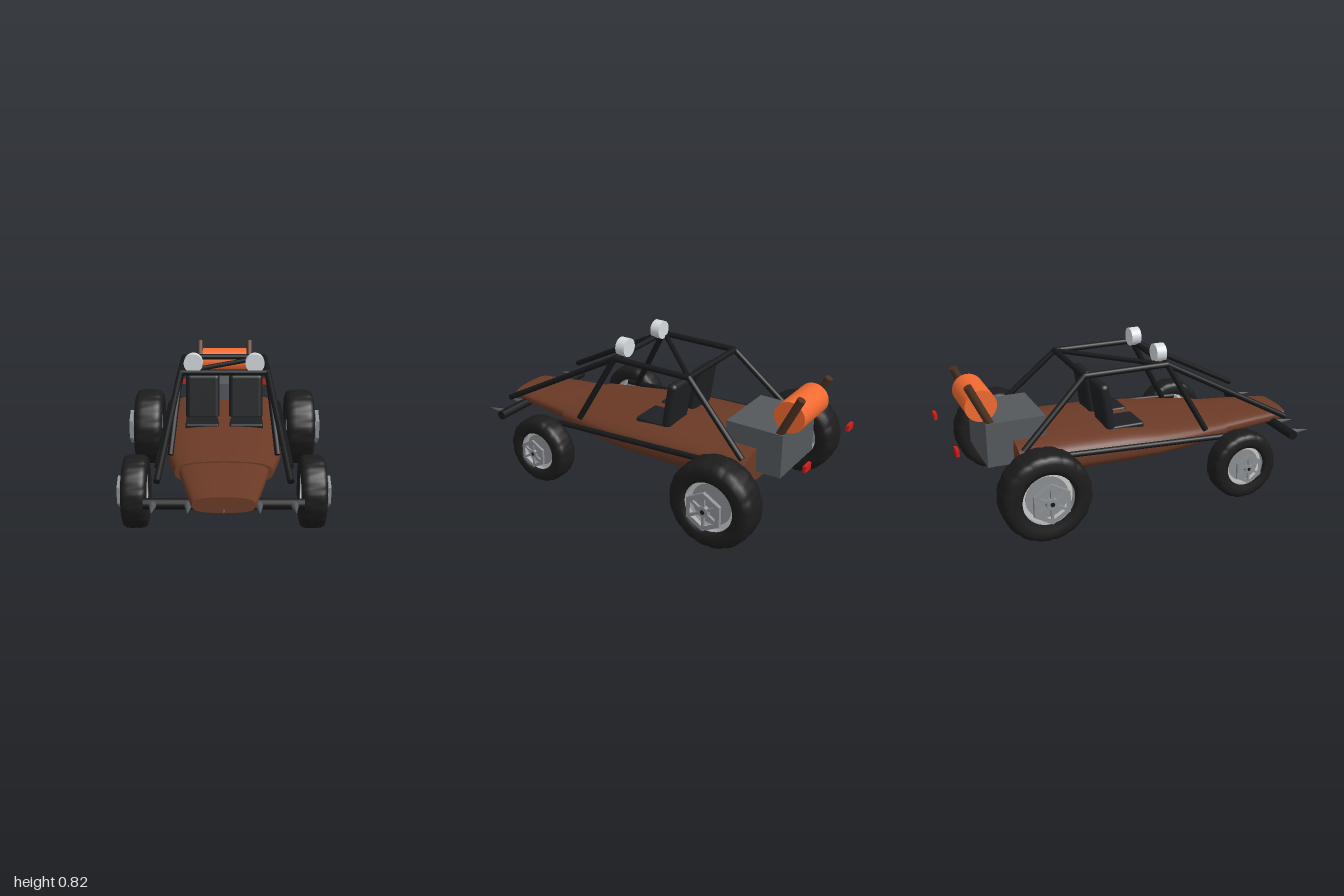
import * as THREE from 'three';
import { RoundedBoxGeometry } from 'three/addons/geometries/RoundedBoxGeometry.js';

const mat = (color, side = THREE.FrontSide) => new THREE.MeshStandardMaterial({ color, side });
const paint = mat(0x6b3a26), black = mat(0x17181a), rubber = mat(0x1c1c1d), seatCloth = mat(0x1e2023);
const engineGrey = mat(0x54585c), orange = mat(0xf26a30), rust = mat(0x4a3022), red = mat(0xd01c18);
const lampWhite = mat(0xd6dbdf), steel = mat(0x8c9094), spikeGrey = mat(0x55585c);
const barrelGrey = mat(0xa4a8ac, THREE.DoubleSide), lipWhite = mat(0xf4f4f4, THREE.DoubleSide);

function add(parent, name, geometry, material, x = 0, y = 0, z = 0) {
  const mesh = new THREE.Mesh(geometry, material);
  mesh.name = name;
  mesh.position.set(x, y, z);
  parent.add(mesh);
  return mesh;
}

// Round bar between two points
function bar(parent, name, a, b, r, material = black) {
  const p = new THREE.Vector3(...a), q = new THREE.Vector3(...b);
  const dir = q.clone().sub(p);
  const mesh = add(parent, name, new THREE.CylinderGeometry(r, r, dir.length(), 14), material);
  mesh.position.copy(p).add(q).multiplyScalar(0.5);
  mesh.quaternion.setFromUnitVectors(new THREE.Vector3(0, 1, 0), dir.normalize());
}

// Closed shell through superellipse sections [z, halfWidth, bottom, top], back to front
function loft(sections, n = 48, power = 2.8) {
  const pos = [], idx = [];
  const ring = ([z, w, lo, hi]) => {
    for (let j = 0; j < n; j++) {
      const t = (j / n) * Math.PI * 2, c = Math.cos(t), s = Math.sin(t);
      pos.push(w * Math.sign(c) * Math.abs(c) ** (2 / power),
        (lo + hi) / 2 + (hi - lo) / 2 * Math.sign(s) * Math.abs(s) ** (2 / power), z);
    }
  };
  sections.forEach(ring);
  for (let i = 0; i < sections.length - 1; i++) {
    for (let j = 0; j < n; j++) {
      const a = i * n + j, b = i * n + (j + 1) % n;
      idx.push(a, b, a + n, b, b + n, a + n);
    }
  }
  // End caps have their own vertices so the rims stay sharp
  for (const front of [false, true]) {
    const sec = sections[front ? sections.length - 1 : 0], base = pos.length / 3;
    ring(sec);
    pos.push(0, (sec[2] + sec[3]) / 2, sec[0]);
    for (let j = 0; j < n; j++) {
      const a = base + j, b = base + (j + 1) % n;
      idx.push(base + n, front ? a : b, front ? b : a);
    }
  }
  const g = new THREE.BufferGeometry();
  g.setAttribute('position', new THREE.Float32BufferAttribute(pos, 3));
  g.setIndex(idx);
  g.computeVertexNormals();
  return g;
}

// Tyre of revolution about x with a lumpy tread
function tyreGeometry(r, w) {
  const h = w / 2, hole = r * 0.58;
  const profile = [[hole, -h * 0.85], [r * 0.68, -h], [r * 0.84, -h], [r * 0.94, -h * 0.9], [r * 0.985, -h * 0.68],
    [r, -h * 0.35], [r, h * 0.35], [r * 0.985, h * 0.68], [r * 0.94, h * 0.9], [r * 0.84, h], [r * 0.68, h],
    [hole, h * 0.85], [hole, -h * 0.85]].map(([a, b]) => new THREE.Vector2(a, b));
  const g = new THREE.LatheGeometry(profile, 96);
  const p = g.attributes.position;
  for (let i = 0; i < p.count; i++) {
    const x = p.getX(i), z = p.getZ(i);
    if (Math.hypot(x, z) < r * 0.9) continue;
    const wave = Math.cos(Math.atan2(z, x) * 16 + Math.sign(p.getY(i)) * 0.8);
    const k = 1 - 0.022 * Math.max(0, wave) ** 2;
    p.setX(i, x * k);
    p.setZ(i, z * k);
  }
  g.computeVertexNormals();
  return g.rotateZ(-Math.PI / 2);
}

// Wheel facing +x, centred on the tyre; hubX is the offset of the hub plate
function makeWheel(name, r, w, hubR, hubX, hubT) {
  const wheel = new THREE.Group();
  wheel.name = name;
  const hole = r * 0.58;
  add(wheel, 'tyre', tyreGeometry(r, w), rubber);
  add(wheel, 'rimBarrel', new THREE.CylinderGeometry(hole * 0.99, hole * 0.99, w * 0.8, 48, 1, true).rotateZ(Math.PI / 2), barrelGrey);
  add(wheel, 'rimDisc', new THREE.CylinderGeometry(hole * 0.82, hole * 0.82, w * 0.12, 40).rotateZ(Math.PI / 2), steel, w * 0.15);
  add(wheel, 'rimLip', new THREE.RingGeometry(hole * 0.8, hole, 48).rotateY(Math.PI / 2), lipWhite, w * 0.2);
  // Hexagonal hub plate with spokes and a centre cap
  const hub = new THREE.Group();
  hub.name = 'hub';
  hub.position.x = hubX;
  wheel.add(hub);
  const hexagon = (path, rad) => path.setFromPoints(Array.from({ length: 7 }, (_, i) =>
    new THREE.Vector2(Math.sin(i * Math.PI / 3) * rad, Math.cos(i * Math.PI / 3) * rad)));
  const hex = hexagon(new THREE.Shape(), hubR);
  hex.holes.push(hexagon(new THREE.Path(), hubR * 0.76));
  add(hub, 'hexRing', new THREE.ExtrudeGeometry(hex, { depth: hubT, bevelEnabled: false, curveSegments: 1 })
    .translate(0, 0, -hubT / 2).rotateY(Math.PI / 2), steel);
  for (let i = 0; i < 6; i++) {
    const spoke = add(hub, 'spoke', new THREE.BoxGeometry(hubT * 0.7, hubR * 0.72, hubR * 0.13).translate(0, hubR * 0.5, 0), steel);
    spoke.rotation.x = i * Math.PI / 3;
  }
  add(hub, 'hubCap', new THREE.CylinderGeometry(hubR * 0.27, hubR * 0.3, hubT, 20).rotateZ(-Math.PI / 2), steel);
  add(hub, 'axleNut', new THREE.CylinderGeometry(hubR * 0.12, hubR * 0.12, hubT * 1.2, 6).rotateZ(-Math.PI / 2), black);
  return wheel;
}

export function createModel() {
  const model = new THREE.Group();
  model.name = 'offRoadBuggy';

  // Body tub and narrower nose
  add(model, 'body', loft([[-0.69, 0.32, 0.23, 0.425], [-0.4, 0.326, 0.215, 0.425], [-0.1, 0.326, 0.212, 0.413],
    [0.08, 0.32, 0.214, 0.395], [0.3, 0.285, 0.222, 0.372], [0.505, 0.245, 0.235, 0.35]]), paint);
  add(model, 'nose', loft([[0.5, 0.224, 0.24, 0.344], [0.73, 0.185, 0.241, 0.335], [0.93, 0.149, 0.243, 0.323],
    [0.95, 0.143, 0.246, 0.32]]), paint);

  // Wheels
  for (const s of [1, -1]) {
    const rear = makeWheel('rearWheel', 0.23, 0.17, 0.105, 0.112, 0.02);
    rear.position.set(s * 0.46, 0.233, -0.622);
    const front = makeWheel('frontWheel', 0.184, 0.126, 0.082, 0.083, 0.013);
    front.position.set(s * 0.44, 0.189, 0.485);
    for (const wheel of [rear, front]) {
      if (s < 0) wheel.rotation.y = Math.PI;
      model.add(wheel);
    }
  }

  // Roll cage
  const cage = new THREE.Group();
  cage.name = 'rollCage';
  model.add(cage);
  const top = 0.725, tw = 0.23, r = 0.016;
  bar(cage, 'frontRoofBar', [-tw, top, 0.14], [tw, top, 0.14], r);
  bar(cage, 'rearRoofBar', [-tw, top, -0.32], [tw, top, -0.32], r);
  bar(cage, 'roofDiagonal', [-tw, top, 0.13], [tw, top, -0.32], 0.013);
  for (const s of [1, -1]) {
    bar(cage, 'roofRail', [s * tw, top, 0.14], [s * tw, top, -0.32], r);
    bar(cage, 'frontStrut', [s * tw, top, 0.14], [s * 0.307, 0.355, 0.835], r);
    bar(cage, 'doorPillar', [s * tw, top, 0.14], [s * 0.275, 0.34, 0.355], r);
    bar(cage, 'rearStrut', [s * tw, top, -0.32], [s * 0.295, 0.4, -0.67], r);
    bar(cage, 'sideRail', [s * 0.335, 0.31, 0.46], [s * 0.335, 0.37, -0.68], 0.015);
    for (const z of [0.14, -0.32]) add(cage, 'cageJoint', new THREE.SphereGeometry(r, 14, 10), black, s * tw, top, z);
  }

  // Seats, roof lamps, exhausts and tail lamps
  for (const s of [1, -1]) {
    const back = add(model, 'seatBack', new RoundedBoxGeometry(0.19, 0.26, 0.055, 4, 0.025), seatCloth, s * 0.121, 0.521, -0.184);
    back.rotation.x = -0.16;
    add(model, 'seatCushion', new RoundedBoxGeometry(0.185, 0.05, 0.2, 3, 0.012), seatCloth, s * 0.121, 0.389, -0.08);
    add(model, 'roofLamp', new THREE.CylinderGeometry(0.05, 0.05, 0.055, 28).rotateX(Math.PI / 2), lampWhite, s * 0.162, 0.773, 0.12);
    bar(model, 'exhaust', [s * 0.157, 0.5, -0.79], [s * 0.157, 0.725, -0.898], 0.021, rust);
    add(model, 'tailLamp', new THREE.BoxGeometry(0.06, 0.034, 0.016), red, s * 0.255, 0.44, -0.992);
  }

  // Engine block with the tank behind it
  add(model, 'engine', new THREE.BoxGeometry(0.366, 0.235, 0.312), engineGrey, 0, 0.4075, -0.67);
  add(model, 'fuelTank', new THREE.CylinderGeometry(0.082, 0.082, 0.275, 32).rotateZ(Math.PI / 2), orange, 0, 0.607, -0.832);

  // Spiked front bumper
  bar(model, 'bumper', [-0.37, 0.257, 0.86], [0.37, 0.257, 0.86], 0.026);
  for (const x of [-0.324, -0.162, 0, 0.162, 0.324]) {
    add(model, 'bumperSpike', new THREE.ConeGeometry(0.02, 0.12, 12).rotateX(Math.PI / 2), spikeGrey, x, 0.257, 0.93);
  }
  return model;
}
